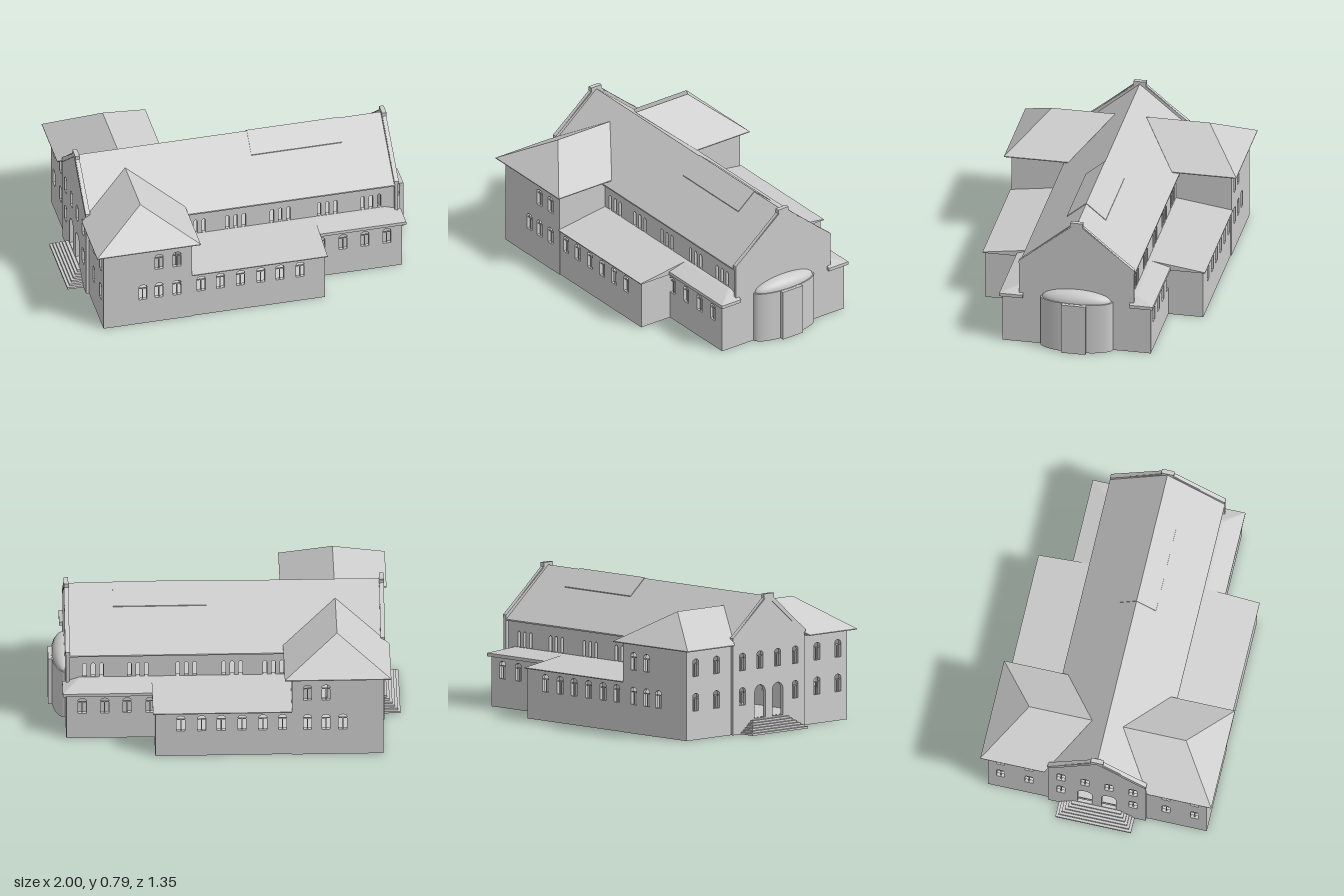
import * as THREE from 'three';
import { ConvexGeometry } from 'three/addons/geometries/ConvexGeometry.js';

const mat = new THREE.MeshStandardMaterial({ color: 0xcccccc, side: THREE.DoubleSide });

export function createModel() {
  const root = new THREE.Group();
  root.name = 'basilica';

  const add = (name, geo, parent = root) => {
    const m = new THREE.Mesh(geo, mat);
    m.name = name;
    parent.add(m);
    return m;
  };
  const box = (name, x0, x1, y0, y1, z0, z1, parent) => {
    const m = add(name, new THREE.BoxGeometry(x1 - x0, y1 - y0, z1 - z0), parent);
    m.position.set((x0 + x1) / 2, (y0 + y1) / 2, (z0 + z1) / 2);
  };
  const shapeOf = (pts) => new THREE.Shape(pts.map(([x, y]) => new THREE.Vector2(x, y)));
  const rect = (u0, u1, y0, y1) => [[u0, y0], [u1, y0], [u1, y1], [u0, y1]];
  const hull = (name, pts) => add(name, new ConvexGeometry(pts.map((p) => new THREE.Vector3(...p))));

  // Window: u centre, sill, width, height, arch rise, bars
  const win = (u, y, w = 0.047, h = 0.1, rise = 0.016, bars = true) => ({ u, y, w, h, rise, bars });

  // Wall with arched openings; runs along x, or along z if alongZ.
  // It occupies [pos - t, pos] on the other axis.
  function wall(name, outline, wins, pos, alongZ = false) {
    const t = 0.02;
    const g = new THREE.Group();
    g.name = name;
    const shape = shapeOf(outline);
    for (const { u, y, w, h, rise, bars } of wins) {
      const spring = y + h - rise;
      const hole = new THREE.Path();
      hole.moveTo(u - w / 2, y);
      hole.lineTo(u + w / 2, y);
      hole.lineTo(u + w / 2, spring);
      hole.absellipse(u, spring, w / 2, rise, 0, Math.PI, false);
      shape.holes.push(hole);
      if (!bars) continue;
      box('mullion', u - 0.003, u + 0.003, y, spring - 0.01, t * 0.35, t * 0.65, g);
      box('transom', u - w / 2, u + w / 2, spring - 0.014, spring - 0.008, t * 0.35, t * 0.65, g);
    }
    add('wallPanel', new THREE.ExtrudeGeometry(shape, { depth: t, bevelEnabled: false, curveSegments: 8 }), g);
    if (alongZ) {
      g.rotation.y = -Math.PI / 2;
      g.position.x = pos;
    } else g.position.z = pos - t;
    root.add(g);
  }

  // Profile in the z-y plane extruded from x0 to x1
  function alongX(name, pts, x0, x1) {
    const m = add(name, new THREE.ExtrudeGeometry(shapeOf(pts), { depth: x1 - x0, bevelEnabled: false }));
    m.rotation.y = -Math.PI / 2;
    m.position.x = x1;
  }
  const mirrorProfile = (half) => [...half, ...half.slice().reverse().map(([z, y]) => [-z, y])];

  // Nave roof, ridge panel and gable copings
  const chevron = (z, yb, yt, apexTop, apexIn) =>
    [[z, yb], [z, yt], [0, apexTop], [-z, yt], [-z, yb], [-z + 0.02, yb], [0, apexIn], [z - 0.02, yb]];
  alongX('naveRoof', chevron(0.335, 0.484, 0.492, 0.772, 0.752), -0.888, 0.888);
  alongX('ridgePanel', chevron(0.113, 0.668, 0.682, 0.777, 0.761), 0.1, 0.63);

  // Floor height: underside and top
  const f0 = 0.072, f1 = 0.08;

  // Gable ends: entrance at -x between the towers, apse end at +x
  const peak = [[0.037, 0.764], [0.037, 0.784]];
  const facadeWins = [];
  for (const s of [-1, 1]) {
    facadeWins.push(win(s * 0.07, 0.08, 0.085, 0.19, 0.042, false));
    facadeWins.push(win(s * 0.21, 0.166), win(s * 0.07, 0.364), win(s * 0.21, 0.364));
  }
  wall('entranceGable', mirrorProfile([[0.285, 0], [0.285, 0.555], ...peak]), facadeWins, -0.887, true);
  wall('apseGable', mirrorProfile([[0.2, f0], [0.2, 0], [0.333, 0], [0.333, 0.515], ...peak]), [], 0.905, true);
  for (const [x, z, y] of [[-0.897, 0.287, 0.556], [0.895, 0.335, 0.516]]) {
    alongX('gableCoping', chevron(z, y - 0.017, y, 0.786, 0.761), x - 0.013, x + 0.013);
    box('gableCap', x - 0.013, x + 0.013, 0.76, 0.787, -0.036, 0.036);
  }

  // Window rows
  const clerestory = [];
  for (const c of [-0.275, -0.04, 0.22, 0.495, 0.75])
    for (const k of [-1, 0, 1]) clerestory.push(win(c + k * 0.048, 0.339, 0.021, 0.091, 0.0105, false));
  const throughOpenings = [0.166, 0.364].map((y) => win(-0.565, y, 0.03, 0.1, 0.015, false));
  const towerWins = [-0.66, -0.565, -0.46].map((x) => win(x, 0.166))
    .concat([-0.565, -0.46].map((x) => win(x, 0.364)));
  const aisleWins = [-0.318, -0.206, -0.088, 0.03, 0.142, 0.26].map((x) => win(x, 0.166));
  const wingWins = [0.43, 0.56, 0.687, 0.815].map((x) => win(x, 0.166));

  // Everything that stands on both long sides
  for (const s of [1, -1]) {
    const at = (z) => (s > 0 ? z : -z + 0.02);
    const span = (a, b) => (s > 0 ? [a, b] : [-b, -a]);
    const zRect = (a, b, y) => rect(...span(a, b), 0, y);

    wall('naveWall', rect(-0.887, 0.887, f0, 0.49), [...clerestory, ...throughOpenings], at(0.315));

    // Corner tower with hipped roof
    wall('towerWall', rect(-0.89, -0.372, 0, 0.52), towerWins, at(0.637));
    const endWins = [];
    for (const z of [0.4, 0.565]) for (const y of [0.166, 0.364]) endWins.push(win(s * z, y));
    wall('towerEndWall', zRect(0.28, 0.637, 0.52), endWins, -0.87, true);
    wall('towerInnerWall', zRect(0.315, 0.637, 0.52), [], -0.372, true);
    const roof = [[-0.632, 0.7, s * 0.09], [-0.632, 0.7, s * 0.457]];
    for (const x of [-0.935, -0.33])
      for (const y of [0.516, 0.521]) roof.push([x, y, s * 0.3], [x, y, s * 0.673]);
    hull('towerRoof', roof);

    // Aisle and lower wing
    wall('aisleWall', rect(-0.372, 0.405, 0, 0.29), aisleWins, at(0.632));
    wall('aisleEndWall', zRect(0.41, 0.632, 0.29), [], 0.405, true);
    wall('wingWall', rect(0.385, 0.905, 0, 0.29), wingWins, at(0.43));
    wall('wingEndWall', zRect(0.2, 0.43, 0.29), [], 0.905, true);

    // Lean-to roofs: the aisle slope folds down to the wing, the wing end is hipped
    hull('aisleRoof', [
      ...[-0.372, 0.418].flatMap((x) => [[x, 0.286, s * 0.31], [x, 0.286, s * 0.645], [x, 0.291, s * 0.645]]),
      [-0.372, 0.338, s * 0.31], [-0.372, 0.335, s * 0.335], [0.3, 0.335, s * 0.335],
      [0.3, 0.338, s * 0.31], [0.418, 0.338, s * 0.31], [0.418, 0.335, s * 0.335], [0.418, 0.305, s * 0.445],
    ]);
    hull('wingRoof', [
      ...[0.3, 0.925].flatMap((x) => [0.286, 0.305].flatMap((y) => [[x, y, s * 0.31], [x, y, s * 0.445]])),
      ...[0.3, 0.83].flatMap((x) => [[x, 0.338, s * 0.31], [x, 0.335, s * 0.335]]),
    ]);

    // Foundation walls below the floor
    box('towerFoundation', -0.872, -0.375, 0, f0, ...span(0.08, 0.095));
    box('towerFoundation', -0.392, -0.372, 0, f0, ...span(0.08, 0.316));
    box('aisleFoundation', -0.3, -0.28, 0, f0, ...span(0.08, 0.614));
    box('chancelFoundation', -0.12, -0.1, 0, f0, ...span(0, 0.22));
    box('chancelFoundation', -0.1, 0.886, 0, f0, ...span(0.2, 0.22));
  }

  // Floors
  box('towerFloor', -0.88, -0.38, f0, f1, -0.63, 0.63);
  box('aisleFloor', -0.38, 0.395, f0, f1, -0.625, 0.625);
  box('wingFloor', 0.395, 0.89, f0, f1, -0.42, 0.42);

  // Apse: half-oval drum, ledge, shallow dome and flat middle pier
  const half = (name, geo, y) => add(name, geo).position.set(0.905, y, 0);
  const disc = () => new THREE.CircleGeometry(1, 40, -Math.PI / 2, Math.PI).rotateX(-Math.PI / 2).scale(0.075, 1, 0.21);
  half('apseDrum', new THREE.CylinderGeometry(1, 1, 0.305, 40, 1, true, 0, Math.PI).scale(0.075, 1, 0.21), 0.1525);
  half('apseLedge', disc(), 0.305);
  half('apseFloor', disc(), f0);
  half('apseDome', new THREE.SphereGeometry(1, 32, 12, Math.PI / 2, Math.PI, 0, Math.PI / 2).scale(0.07, 0.06, 0.2), 0.305);
  box('apsePier', 0.97, 0.998, 0, 0.304, -0.07, 0.07);

  // Entrance steps, rising from three sides
  for (let i = 0; i < 6; i++) {
    const d = i * 0.015;
    box('entranceStep', -1 + d, -0.9, i * 0.012, (i + 1) * 0.012, -0.22 + d, 0.22 - d);
  }
  return root;
}
